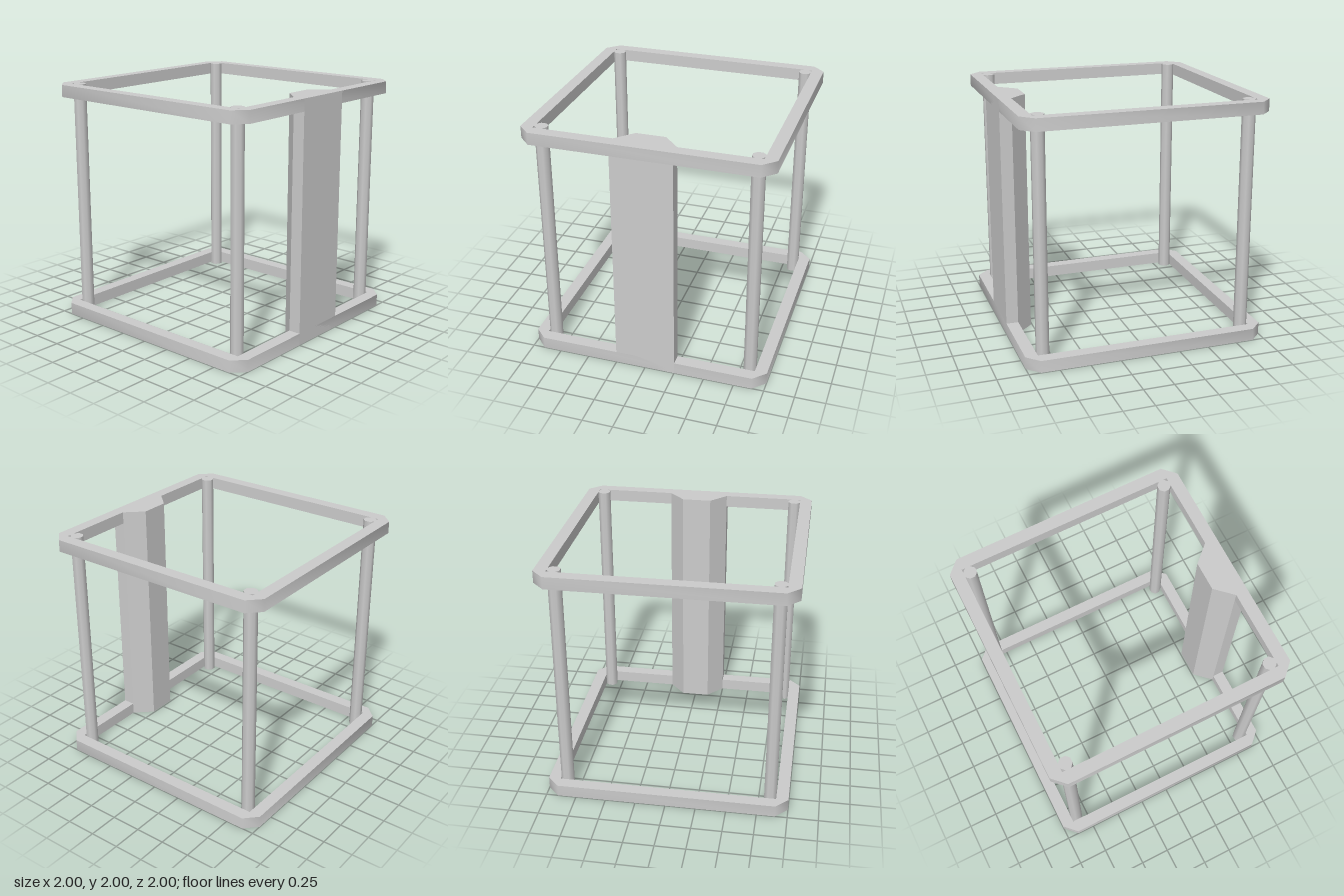
import * as THREE from 'three';
import { toCreasedNormals } from 'three/addons/utils/BufferGeometryUtils.js';

const material = new THREE.MeshStandardMaterial({ color: 0xcccccc });
const SMOOTH = THREE.MathUtils.degToRad(50);
const points = (list) => list.map(([x, y]) => new THREE.Vector2(x, y));

// Extrude a plan outline upward from y = 0
function extrudeUp(shape, height) {
  const geometry = new THREE.ExtrudeGeometry(shape, { depth: height, bevelEnabled: false });
  return geometry.rotateX(-Math.PI / 2);
}

function addPart(group, name, geometry, x = 0, y = 0, z = 0) {
  const mesh = new THREE.Mesh(geometry, material);
  mesh.name = name;
  mesh.position.set(x, y, z);
  group.add(mesh);
}

export function createModel() {
  const group = new THREE.Group();
  group.name = 'openFrame';

  // Top and bottom rings: chamfered square with a square opening
  const ring = new THREE.Shape(points([
    [-0.9, -1], [0.9, -1], [1, -0.9], [1, 0.9],
    [0.9, 1], [-0.9, 1], [-1, 0.9], [-1, -0.9],
  ]));
  ring.holes.push(new THREE.Path(points([[-0.9, -0.9], [-0.9, 0.9], [0.9, 0.9], [0.9, -0.9]])));
  const ringGeometry = toCreasedNormals(extrudeUp(ring, 0.1), SMOOTH);
  addPart(group, 'bottomRing', ringGeometry);
  addPart(group, 'topRing', ringGeometry, 0, 1.9, 0);

  // Octagonal corner posts, flats aligned with the ring's inner sides
  const radius = 0.05 / Math.cos(Math.PI / 8);
  const post = new THREE.CylinderGeometry(radius, radius, 2, 8).rotateY(Math.PI / 8);
  for (const x of [-1, 1]) {
    for (const z of [-1, 1]) {
      const name = (z > 0 ? 'front' : 'back') + (x > 0 ? 'Left' : 'Right') + 'Post';
      addPart(group, name, post, x * 0.85, 1, z * 0.85);
    }
  }

  // Full-height side column with a tapered inner face
  const column = new THREE.Shape(points([
    [1, -0.25], [1, 0.25], [0.9, 0.25], [0.76, 0.12], [0.76, -0.12], [0.9, -0.25],
  ]));
  addPart(group, 'sideColumn', extrudeUp(column, 2));

  return group;
}
